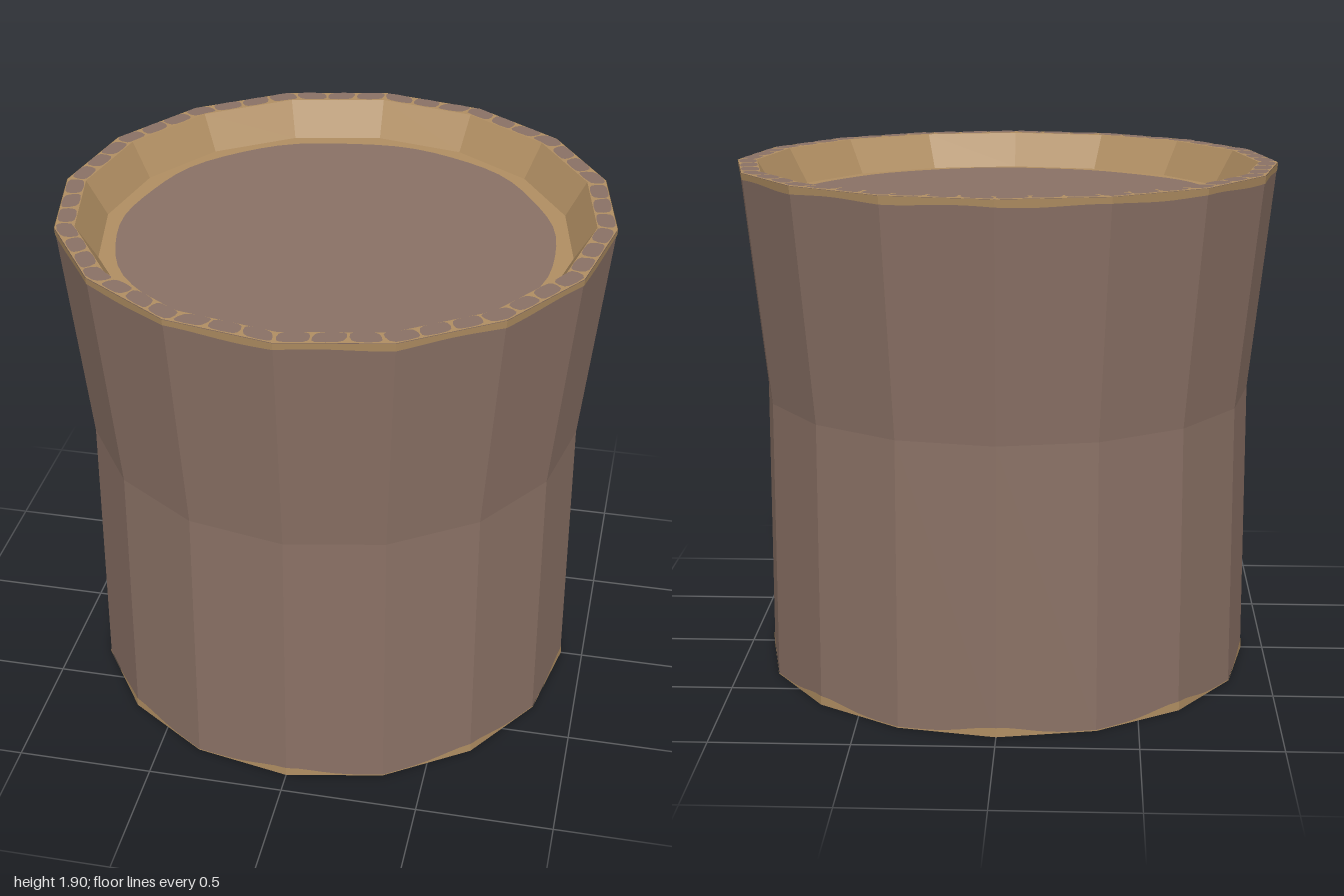
import * as THREE from 'three';

const SIDES = 16;
const STEP = (Math.PI * 2) / SIDES;

const mat = (name, color) => {
  const m = new THREE.MeshStandardMaterial({ color, flatShading: true, side: THREE.DoubleSide });
  m.name = name;
  return m;
};

// Radius of a 16-sided ring at angle a, given its corner radius
const ring = (r, a) => {
  const local = (((a % STEP) + STEP) % STEP) - STEP / 2;
  return (r * Math.cos(STEP / 2)) / Math.cos(local);
};

// Corner radius of the outer wall at height y
const wallRadius = (y) => (y < 1.05 ? 0.915 - 0.005 * (y / 1.05) : 0.91 + 0.09 * ((y - 1.05) / 0.85));

const point = (r, a, y) => [Math.sin(a) * r, y, Math.cos(a) * r];

function lathe(profile) {
  return new THREE.LatheGeometry(profile.map(([r, y]) => new THREE.Vector2(r, y)), SIDES);
}

// Thin band lying on the outer wall between two height functions
function wallBand(low, high) {
  const n = SIDES * 8, pos = [], index = [];
  for (let i = 0; i <= n; i++) {
    const a = (i / n) * Math.PI * 2;
    for (const y of [low(a), high(a)]) pos.push(...point(ring(wallRadius(y), a) + 0.002, a, y));
    if (i < n) index.push(2 * i, 2 * i + 2, 2 * i + 1, 2 * i + 1, 2 * i + 2, 2 * i + 3);
  }
  return surface(pos, index);
}

function surface(pos, index) {
  const g = new THREE.BufferGeometry();
  g.setAttribute('position', new THREE.Float32BufferAttribute(pos, 3));
  g.setIndex(index);
  g.computeVertexNormals();
  return g;
}

// Rounded flat stones filling the rim
function rimStones(count, y) {
  const pos = [], index = [], corners = 12;
  for (let s = 0; s < count; s++) {
    const mid = ((s + 0.5) / count) * Math.PI * 2;
    const half = (Math.PI / count) * (0.93 + 0.04 * Math.sin(s * 2.3));
    const base = pos.length / 3;
    pos.push(...point(ring(0.965, mid), mid, y));
    for (let k = 0; k < corners; k++) {
      const t = (k / corners) * Math.PI * 2;
      const soft = (v) => Math.sign(v) * Math.pow(Math.abs(v), 0.6);
      const a = mid + half * soft(Math.sin(t)) + 0.012 * Math.cos(t) * Math.sin(s * 1.7);
      pos.push(...point(ring(0.965 + 0.033 * soft(-Math.cos(t)), a), a, y));
      index.push(base, base + 1 + k, base + 1 + ((k + 1) % corners));
    }
  }
  return surface(pos, index);
}

// Slightly uneven round plate
function floorPlate(y) {
  const n = 64, pos = [0, y, 0], index = [];
  for (let i = 0; i < n; i++) {
    const a = (i / n) * Math.PI * 2;
    pos.push(...point(0.79 + 0.006 * Math.sin(a * 5 + 1) + 0.004 * Math.sin(a * 11), a, y));
    index.push(0, 1 + i, 1 + ((i + 1) % n));
  }
  return surface(pos, index);
}

export function createModel() {
  const model = new THREE.Group();
  model.name = 'stump';
  const bark = mat('brown', 0x8a7165);
  const sand = mat('tan', 0xb08e62);
  const add = (name, geometry, material) => {
    const mesh = new THREE.Mesh(geometry, material);
    mesh.name = name;
    model.add(mesh);
  };

  // Open-bottomed body, flaring towards the top
  add('outerWall', lathe([[0.915, 0], [0.91, 1.05], [1, 1.9]]), bark);

  // Rim, sloping recess and its floor
  add('rimAndRecess', lathe([[1, 1.9], [0.93, 1.9], [0.855, 1.77], [0, 1.77]]), sand);
  add('rimStones', rimStones(52, 1.902), bark);
  add('recessFloor', floorPlate(1.773), bark);

  // Uneven trims along the top and bottom edges
  add('topTrim', wallBand((a) => 1.873 + 0.004 * Math.sin(a * 13), () => 1.899), sand);
  add('bottomTrim', wallBand(() => 0, (a) =>
    0.004 + 0.03 * Math.pow(Math.abs(Math.cos(a * 4)), 4) * (0.75 + 0.25 * Math.cos(a * 8))), sand);

  return model;
}
